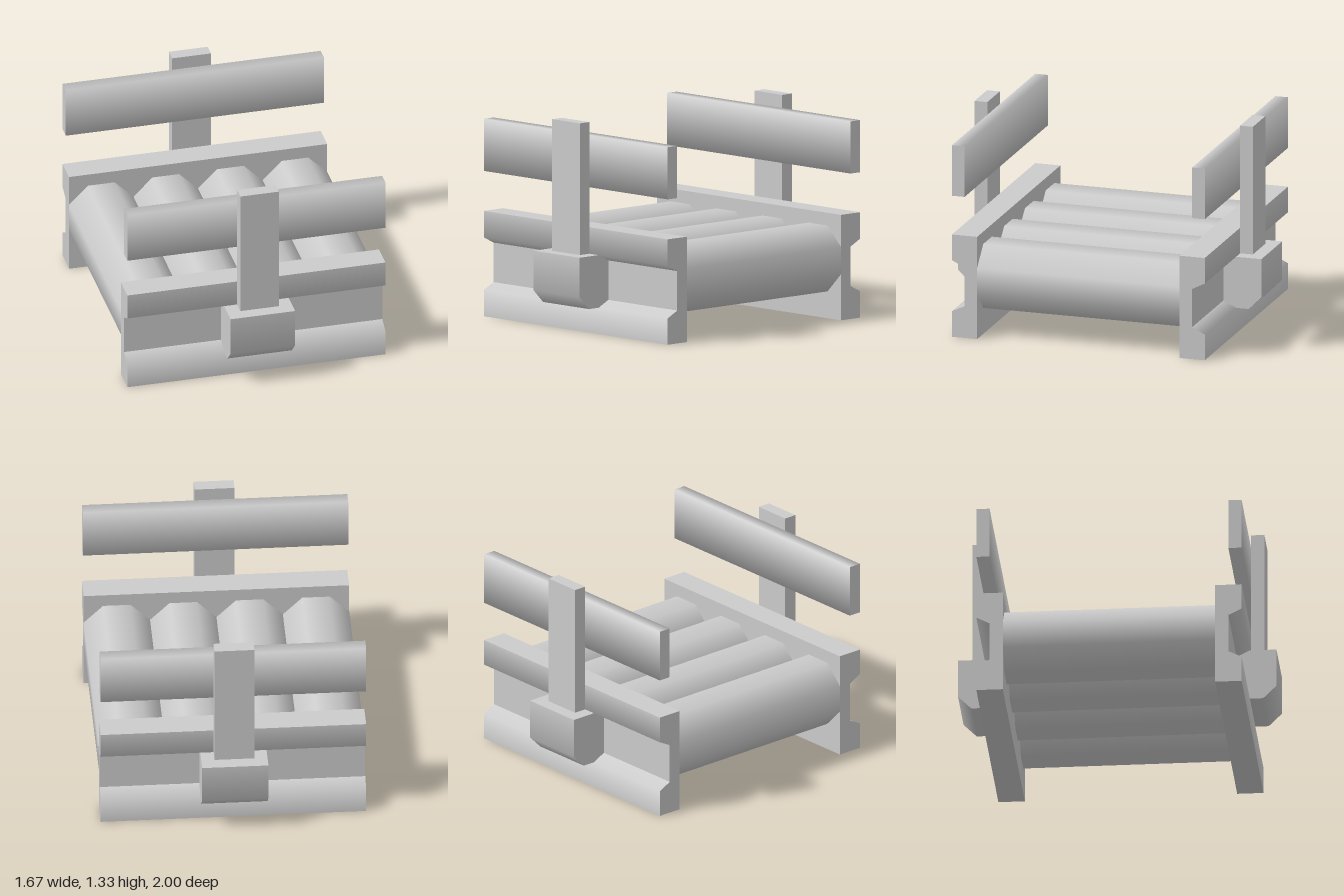
import * as THREE from 'three';

const material = new THREE.MeshStandardMaterial({ color: 0xcccccc });

// Extrudes a counter-clockwise [z, y, smooth] profile along x;
// corners flagged smooth share an averaged normal.
function bar(name, profile, halfLength) {
  const n = profile.length;
  const pos = [];
  const nor = [];
  const pts = profile.map(([z, y]) => new THREE.Vector2(z, y));
  const faceNormal = pts.map((p, i) => {
    const q = pts[(i + 1) % n];
    return new THREE.Vector2(q.y - p.y, p.x - q.x).normalize();
  });
  const push = (p, x, nx, ny, nz) => {
    pos.push(x, p.y, p.x);
    nor.push(nx, ny, nz);
  };
  const cornerNormal = (corner, face) => {
    if (!profile[corner][2]) return faceNormal[face];
    return faceNormal[corner].clone().add(faceNormal[(corner + n - 1) % n]).normalize();
  };

  // Long faces
  for (let i = 0; i < n; i++) {
    const j = (i + 1) % n;
    const a = cornerNormal(i, i);
    const b = cornerNormal(j, i);
    const quad = [[i, -1, a], [i, 1, a], [j, 1, b], [j, -1, b]];
    for (const k of [0, 1, 2, 0, 2, 3]) {
      const [c, side, m] = quad[k];
      push(pts[c], side * halfLength, 0, m.y, m.x);
    }
  }
  // End caps
  for (const [a, b, c] of THREE.ShapeUtils.triangulateShape(pts, [])) {
    for (const k of [a, b, c]) push(pts[k], -halfLength, -1, 0, 0);
    for (const k of [c, b, a]) push(pts[k], halfLength, 1, 0, 0);
  }

  const geometry = new THREE.BufferGeometry();
  geometry.setAttribute('position', new THREE.Float32BufferAttribute(pos, 3));
  geometry.setAttribute('normal', new THREE.Float32BufferAttribute(nor, 3));
  const mesh = new THREE.Mesh(geometry, material);
  mesh.name = name;
  return mesh;
}

// One side of the conveyor: channel rail, bracket, post and guard rail
function createSide(name) {
  const side = new THREE.Group();
  side.name = name;

  side.add(bar('channelRail', [
    [0.667, 0], [0.833, 0], [0.833, 0.167, true], [0.75, 0.208],
    [0.75, 0.458], [0.833, 0.5, true], [0.833, 0.667], [0.667, 0.667],
  ], 0.833));

  side.add(bar('bracket', [
    [0.75, 0.208], [0.833, 0.167], [0.917, 0.167, true], [1, 0.25, true],
    [1, 0.5], [0.833, 0.5], [0.75, 0.458],
  ], 0.208));

  const post = new THREE.Mesh(new THREE.BoxGeometry(0.25, 0.833, 0.084), material);
  post.name = 'post';
  post.position.set(0, 0.9165, 0.875);
  side.add(post);

  side.add(bar('guardRail', [
    [0.75, 0.92, true], [0.833, 0.92, true], [0.833, 1.25, true], [0.75, 1.25, true],
  ], 0.833));
  return side;
}

export function createModel() {
  const model = new THREE.Group();
  model.name = 'rollerConveyor';

  const front = createSide('frontSide');
  const back = createSide('backSide');
  back.rotation.y = Math.PI;
  model.add(front, back);

  // Four touching octagonal rollers, flats facing up and sideways
  const radius = 0.2083 / Math.cos(Math.PI / 8);
  const rollerGeometry = new THREE.CylinderGeometry(radius, radius, 1.334, 8, 1, false, Math.PI / 8);
  rollerGeometry.rotateX(Math.PI / 2);
  for (let i = 0; i < 4; i++) {
    const roller = new THREE.Mesh(rollerGeometry, material);
    roller.name = `roller${i + 1}`;
    roller.position.set((i - 1.5) * 0.4167, 0.378, 0);
    model.add(roller);
  }
  return model;
}
